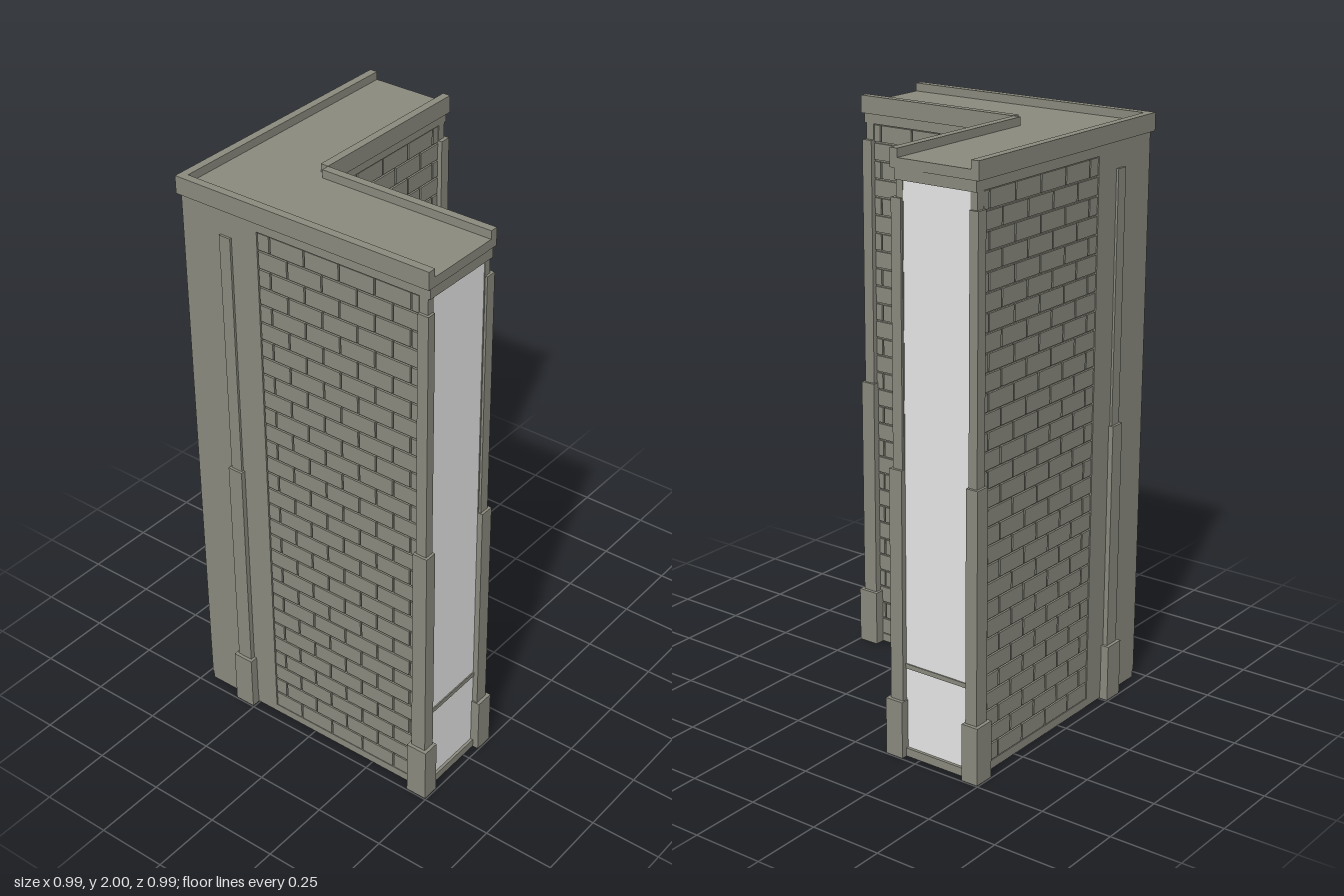
import * as THREE from 'three';
import { mergeGeometries } from 'three/addons/utils/BufferGeometryUtils.js';

const mat = (name, color) => {
  const m = new THREE.MeshStandardMaterial({ color });
  m.name = name;
  return m;
};

export function createModel() {
  const group = new THREE.Group();
  const stone = mat('stone', 0x8b8a7e);
  const panel = mat('panel', 0xe7e7e7);

  const add = (name, geometry, material) => {
    const mesh = new THREE.Mesh(geometry, material);
    mesh.name = name;
    group.add(mesh);
  };

  // Box between two limits on each axis
  const box = (x0, x1, y0, y1, z0, z1) =>
    new THREE.BoxGeometry(x1 - x0, y1 - y0, z1 - z0)
      .translate((x0 + x1) / 2, (y0 + y1) / 2, (z0 + z1) / 2);

  // The plan is symmetric about its diagonal: (x, z) -> (-z, -x)
  const pair = (x0, x1, y0, y1, z0, z1) => [
    box(x0, x1, y0, y1, z0, z1),
    box(-z1, -z0, y0, y1, -x1, -x0),
  ];

  // L-shaped slab: outer face, inner face and arm end as distances from the centre
  const slab = (outer, inner, end, y0, y1) => {
    const pts = [[-outer, -outer], [end, -outer], [end, -inner], [-inner, -inner], [-inner, end], [-outer, end]];
    const shape = new THREE.Shape(pts.map(([x, y]) => new THREE.Vector2(x, y)));
    return new THREE.ExtrudeGeometry(shape, { depth: y1 - y0, bevelEnabled: false })
      .rotateX(-Math.PI / 2).translate(0, y0, 0);
  };

  // Walls, plinth and cornice
  add('wallCore', slab(0.458, 0.172, 0.45, 0.03, 1.905), stone);
  add('plinth', slab(0.465, 0.165, 0.475, 0.001, 0.03), stone);
  add('cornice', slab(0.467, 0.163, 0.475, 1.905, 1.94), stone);
  add('roof', slab(0.478, 0.15, 0.478, 1.94, 1.972), stone);
  add('smoothCorner', box(-0.467, -0.17, 0.03, 1.905, 0.17, 0.467), stone);
  add('underside', box(-0.465, -0.17, 0, 0.001, -0.465, 0.165), panel);

  // Raised roof edges, open at the arm ends
  add('roofEdges', mergeGeometries([
    ...pair(-0.478, 0.478, 1.972, 2, 0.45, 0.478),
    ...pair(-0.15, 0.478, 1.972, 2, 0.15, 0.178),
  ]), stone);

  // Bricks in staggered rows on the outer and inner faces
  const bricks = [];
  const rows = 30, rowHeight = 1.875 / rows, length = 0.132, gap = 0.006;
  for (let r = 0; r < rows; r++) {
    const y0 = 0.03 + r * rowHeight + gap / 2;
    const y1 = y0 + rowHeight - gap;
    const start = r % 2 ? -0.254 : -0.188;
    for (let i = 0; i < 6; i++) {
      const a = start + i * length;
      const x0 = Math.max(-0.167, a + gap / 2);
      const x1 = Math.min(0.434, a + length - gap / 2);
      if (x1 - x0 < 0.008) continue;
      bricks.push(...pair(x0, x1, y0, y1, 0.45, 0.465));
      bricks.push(...pair(x0, x1, y0, y1, 0.165, 0.18));
    }
  }
  add('bricks', mergeGeometries(bricks), stone);

  // Light end panels with a crossbar
  add('endPanels', mergeGeometries(pair(0.45, 0.465, 0.03, 1.905, 0.185, 0.445)), panel);
  add('endCrossbars', mergeGeometries(pair(0.46, 0.469, 0.312, 0.328, 0.185, 0.445)), stone);

  // Stiles at the arm ends, up to the cornice
  add('endStiles', mergeGeometries([
    ...pair(0.437, 0.467, 0.03, 1.905, 0.44, 0.466),
    ...pair(0.437, 0.467, 0.03, 1.905, 0.164, 0.19),
  ]), stone);

  // Stepped posts: bottom, top, projection, inset along the wall, inner edge
  const posts = [];
  const steps = [
    [0, 0.2, 0.496, 0, 0.435],
    [0.2, 0.99, 0.484, 0.01, 0.44],
    [0.99, 1.85, 0.475, 0.016, 0.443],
  ];
  for (const [y0, y1, out, inset, edge] of steps) {
    posts.push(...pair(0.42 + inset, out, y0, y1, edge, out));
    posts.push(...pair(0.42 + inset, out, y0, y1, 0.625 - out, 0.63 - edge));
    posts.push(...pair(-0.33 + inset, -0.255 - inset, y0, y1, 0.45, out));
  }
  add('steppedPosts', mergeGeometries(posts), stone);

  return group;
}
